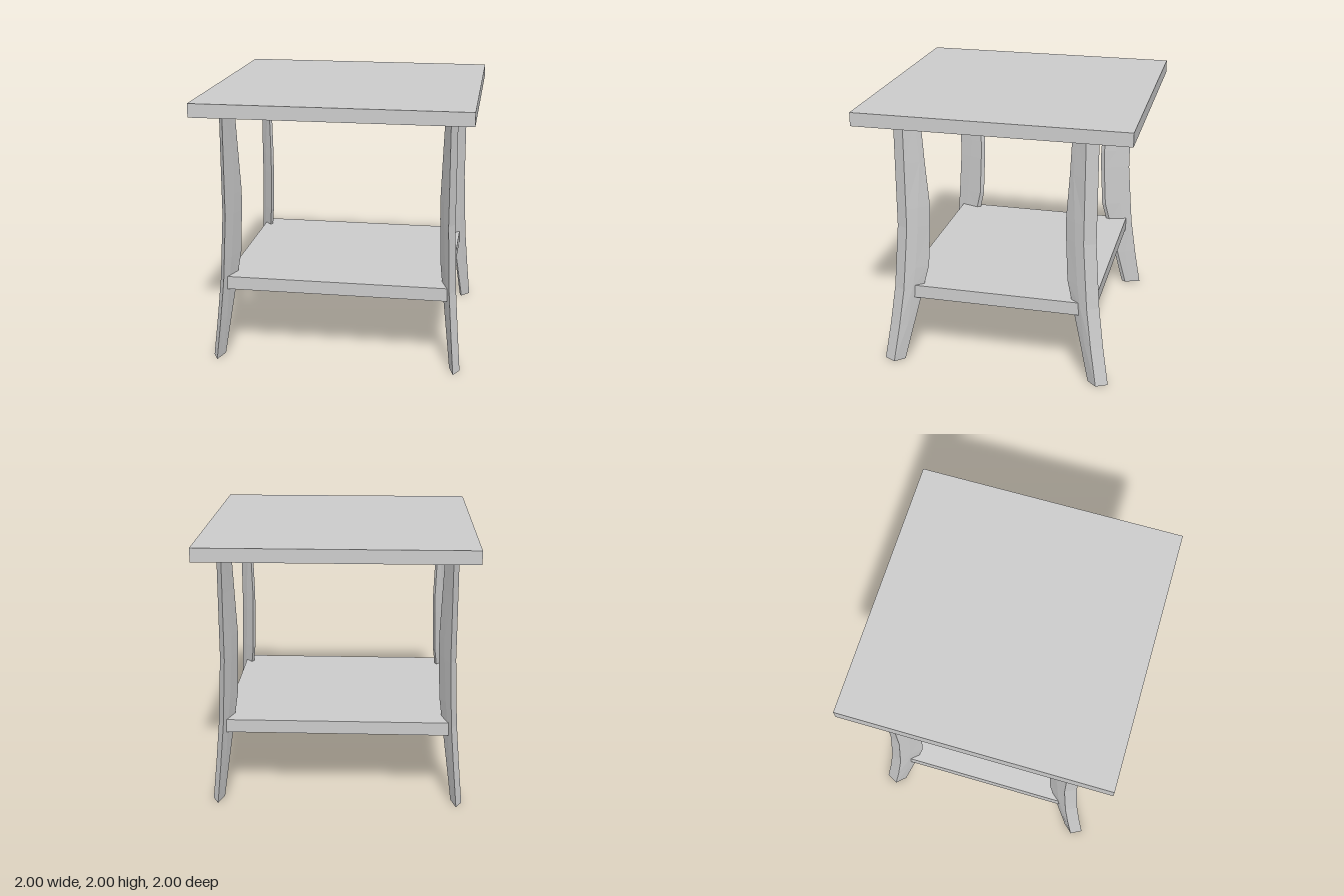
import * as THREE from 'three';

const material = new THREE.MeshStandardMaterial({ color: 0xcccccc, flatShading: true, side: THREE.DoubleSide });

// Leg stations: height, outer corner (x, z), inner edge (x, z), crease (x, z), crease bulge
const stations = [
  [0.0, 0.94, 0.785, 0.86, 0.715, 0.87, 0.735, 0],
  [0.3, 0.915, 0.737, 0.822, 0.643, 0.842, 0.685, 0.004],
  [0.6, 0.892, 0.697, 0.784, 0.571, 0.82, 0.64, 0.008],
  [0.77, 0.885, 0.684, 0.763, 0.53, 0.805, 0.615, 0.008],
  [1.1, 0.872, 0.66, 0.752, 0.513, 0.788, 0.59, 0.008],
  [1.25, 0.872, 0.66, 0.75, 0.51, 0.784, 0.585, 0.008],
  [1.6, 0.871, 0.66, 0.763, 0.535, 0.78, 0.565, 0.004],
  [1.9, 0.87, 0.66, 0.775, 0.55, 0.785, 0.59, 0],
];

// Six-cornered section of a diagonal plank that tapers to a thin inner edge
function section([, ax, az, ex, ez, cx, cz, bulge]) {
  const bx = ax - 0.045, bz = az + 0.085;
  const e1 = [ex, ez + 0.03], e2 = [ex + 0.015, ez];
  const q = [cx, bz + (e1[1] - bz) * (cx - bx) / (e1[0] - bx) + bulge];
  const p = [ax + (e2[0] - ax) * (cz - az) / (e2[1] - az) + bulge, cz];
  return [[ax, az], [bx, bz], q, e1, e2, p];
}

function legGeometry(sx, sz) {
  const positions = [], index = [], n = 6, last = (stations.length - 1) * n;
  const tri = (a, b, c) => index.push(...(sx * sz > 0 ? [a, b, c] : [a, c, b]));
  stations.forEach((s) => section(s).forEach(([x, z]) => positions.push(sx * x, s[0], sz * z)));
  for (let r = 0; r < last; r += n) {
    for (let i = 0; i < n; i++) {
      const j = (i + 1) % n;
      tri(r + i, r + n + i, r + j);
      tri(r + j, r + n + i, r + n + j);
    }
  }
  // End caps
  for (let i = 1; i < n - 1; i++) {
    tri(0, i, i + 1);
    tri(last, last + i + 1, last + i);
  }
  const indexed = new THREE.BufferGeometry();
  indexed.setAttribute('position', new THREE.Float32BufferAttribute(positions, 3));
  indexed.setIndex(index);
  const geometry = indexed.toNonIndexed();
  geometry.computeVertexNormals();
  return geometry;
}

function board(name, width, depth, y) {
  const mesh = new THREE.Mesh(new THREE.BoxGeometry(width, 0.1, depth), material);
  mesh.name = name;
  mesh.position.y = y;
  return mesh;
}

export function createModel() {
  const table = new THREE.Group();
  table.name = 'sideTable';
  table.add(board('tableTop', 2, 2, 1.95), board('lowerShelf', 1.69, 1.47, 0.575));

  // Four mirrored legs
  for (const sx of [1, -1]) {
    for (const sz of [1, -1]) {
      const leg = new THREE.Mesh(legGeometry(sx, sz), material);
      leg.name = (sz > 0 ? 'front' : 'back') + (sx > 0 ? 'Left' : 'Right') + 'Leg';
      table.add(leg);
    }
  }
  return table;
}
